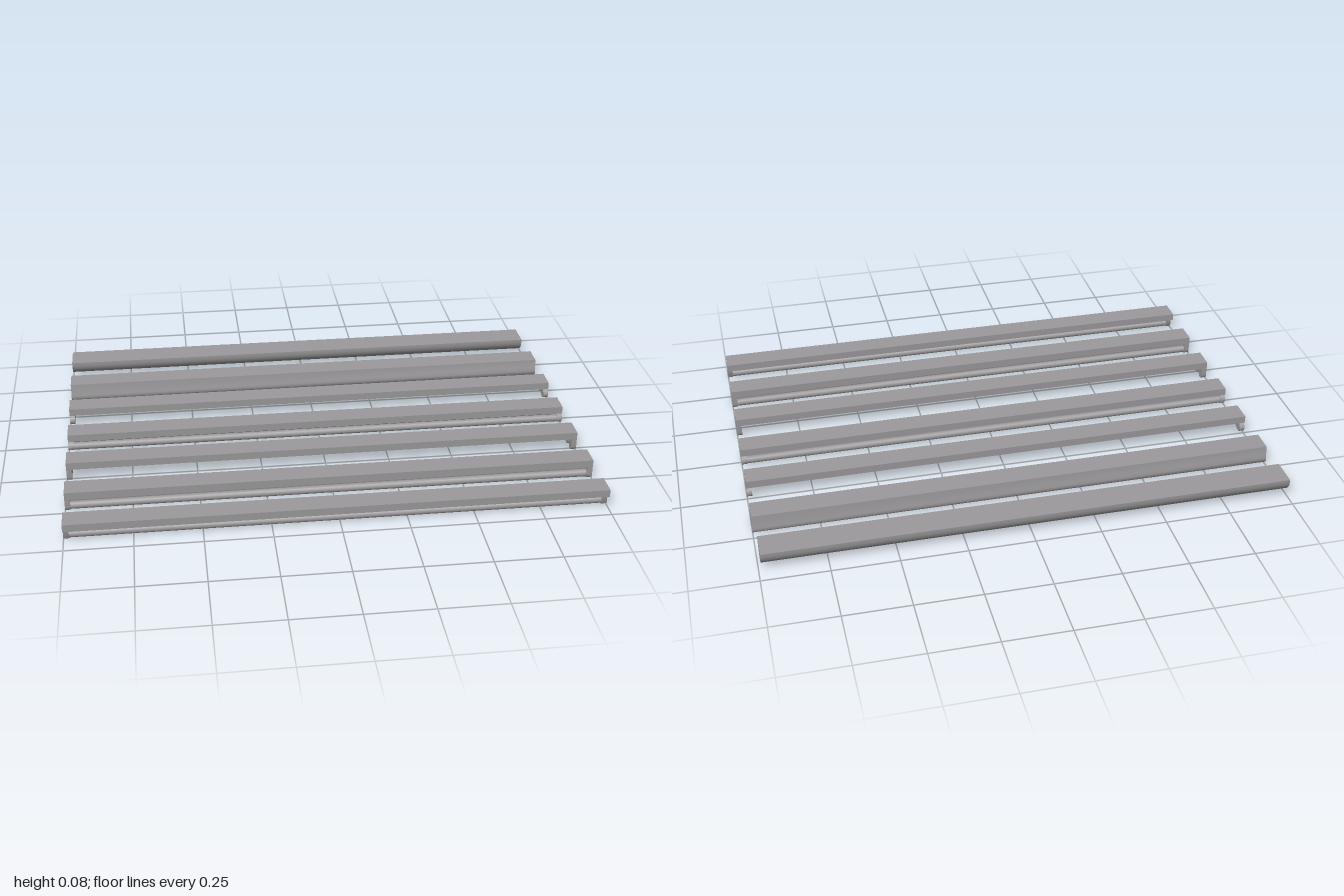
import * as THREE from 'three';
import { toCreasedNormals } from 'three/addons/utils/BufferGeometryUtils.js';

const grey = new THREE.MeshStandardMaterial({ color: 0x9c9a9c });
grey.name = 'grey';

const TOP = 0.083;    // upper face of every housing
const UNDER = 0.054;  // underside of the slim housings
const HALF = 0.0435;  // half width of the housings

// Sweep a z-y cross-section along x
function sweep(name, shape, x0, x1) {
  let g = new THREE.ExtrudeGeometry(shape, { depth: x1 - x0, bevelEnabled: false, curveSegments: 10 });
  g.rotateY(Math.PI / 2);
  g.translate(x0, 0, 0);
  g = toCreasedNormals(g, 0.7);
  const m = new THREE.Mesh(g, grey);
  m.name = name;
  return m;
}

function poly(points) {
  return new THREE.Shape(points.map(([z, y]) => new THREE.Vector2(z, y)));
}

function housing() {
  return sweep('housing', poly([[-HALF, UNDER], [HALF, UNDER], [HALF, TOP], [-HALF, TOP]]), -1, 1);
}

function tube(z, y, r) {
  const g = new THREE.CylinderGeometry(r, r, 1.97, 16);
  g.rotateZ(Math.PI / 2);
  const m = new THREE.Mesh(g, grey);
  m.name = 'lampTube';
  m.position.set(0, y, z);
  return m;
}

// Hanging lamp socket with a rounded lower end
function socketShape(z, r) {
  const s = new THREE.Shape();
  s.moveTo(z + r, UNDER);
  s.lineTo(z - r, UNDER);
  s.lineTo(z - r, r + 0.003);
  s.absarc(z, r + 0.003, r, Math.PI, Math.PI * 2, false);
  s.closePath();
  return s;
}

// Two drooping lobes joined beneath a short neck
function wingShape() {
  const s = new THREE.Shape();
  s.moveTo(-0.015, UNDER);
  s.lineTo(-0.015, 0.046);
  s.bezierCurveTo(-0.03, 0.054, -0.046, 0.044, -0.047, 0.028);
  s.bezierCurveTo(-0.046, 0.008, -0.024, 0.008, 0, 0.025);
  s.bezierCurveTo(0.024, 0.008, 0.046, 0.008, 0.047, 0.028);
  s.bezierCurveTo(0.046, 0.044, 0.03, 0.054, 0.015, 0.046);
  s.lineTo(0.015, UNDER);
  s.closePath();
  return s;
}

// Slim fixture: housing, sockets at both ends and optional tubes
function battenFixture(name, z, sockets, tubes) {
  const g = new THREE.Group();
  g.name = name;
  g.position.z = z;
  g.add(housing());
  for (const shape of sockets) {
    g.add(sweep('leftSocket', shape, 0.98, 1), sweep('rightSocket', shape, -1, -0.98));
  }
  for (const [tz, ty, r] of tubes) g.add(tube(tz, ty, r));
  return g;
}

export function createModel() {
  const model = new THREE.Group();
  model.name = 'lightFixtures';

  const single = [socketShape(0, 0.017)];
  const twin = [-0.025, 0.025].map((z) => socketShape(z, 0.0175));
  const wings = [wingShape()];

  model.add(battenFixture('singleFixture', 0.665, single, [[0, 0.021, 0.015]]));
  model.add(battenFixture('twinFixture', 0.446, twin, [-0.025, 0.025].map((z) => [z, 0.021, 0.015])));
  model.add(battenFixture('emptyTwinFixture', 0.227, twin, []));
  model.add(battenFixture('wingFixture', 0.008, wings, [-0.03, 0.03].map((z) => [z, 0.028, 0.015])));
  model.add(battenFixture('emptyWingFixture', -0.21, wings, []));

  // Enclosed fixture with a flared diffuser
  const half = [[0.044, 0.083], [0.047, 0.05], [0.0515, 0.034], [0.0515, 0.022], [0.046, 0.014]];
  const mirrored = half.map(([z, y]) => [-z, y]).reverse();
  const enclosed = sweep('enclosedFixture', poly([...half, ...mirrored]), -1, 1);
  enclosed.position.z = -0.432;
  model.add(enclosed);

  // Half-round fixture
  const round = new THREE.Shape();
  round.moveTo(0.055, TOP);
  round.lineTo(-0.055, TOP);
  round.lineTo(-0.055, 0.076);
  round.absarc(0, 0.076, 0.055, Math.PI, Math.PI * 2, false);
  round.closePath();
  const halfRound = sweep('halfRoundFixture', round, -1, 0.99);
  halfRound.position.z = -0.651;
  model.add(halfRound);

  return model;
}
